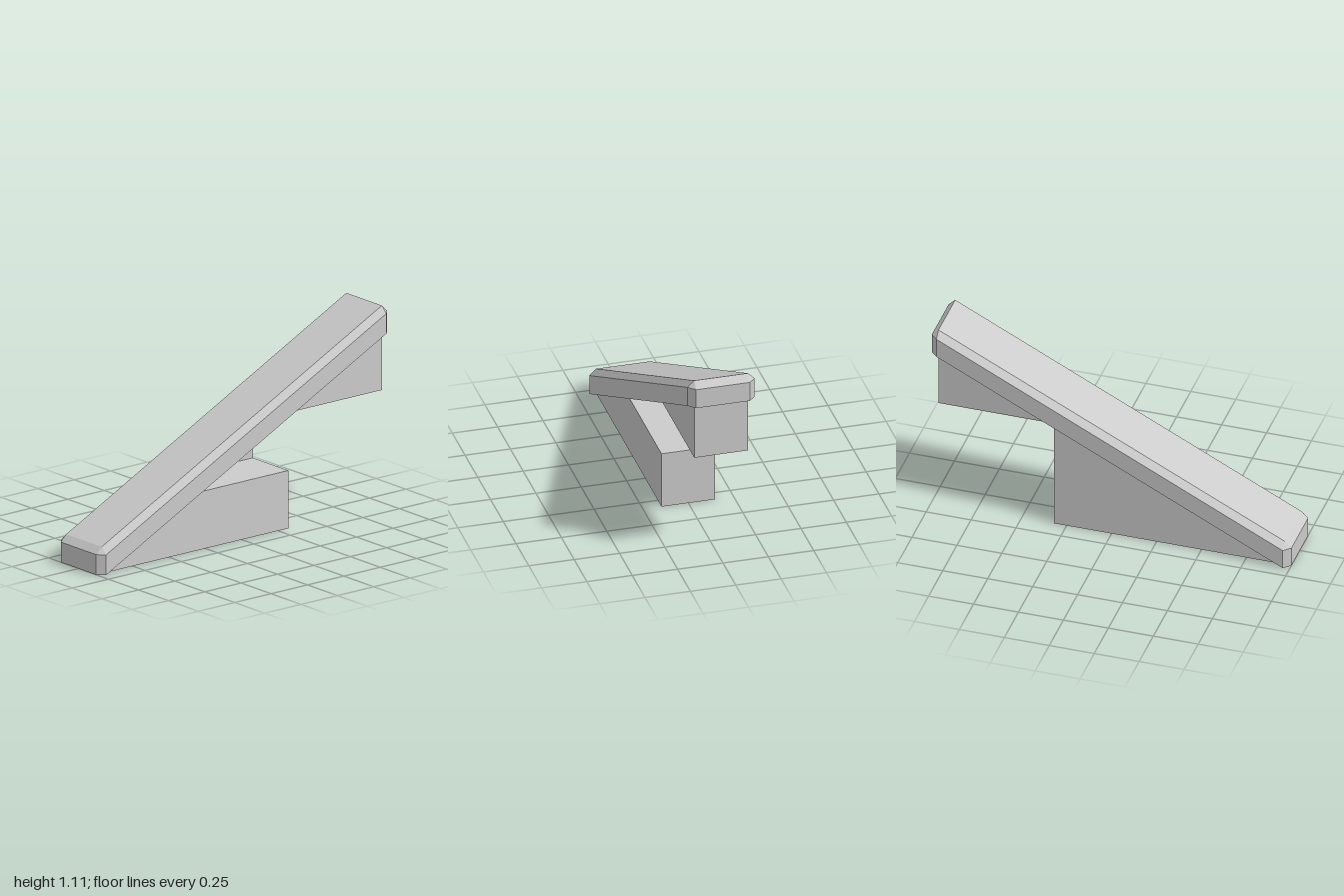
import * as THREE from 'three';

const A = 0.963;        // half length of the slope
const M = A / 3;        // step module: depth and rise
const R = 0.148;        // half depth of the supports and top face
const W = 0.185;        // half depth of the cap
const RIM = 0.112, TOP = 0.148; // cap heights above the slope line

const slope = (x) => (THREE.MathUtils.clamp(x, -A, A) + A) / 2;

const material = new THREE.MeshStandardMaterial({
  color: 0xcccccc, flatShading: true, side: THREE.DoubleSide,
});

// Mesh from flat convex polygons, corners counter-clockwise from outside
function panels(name, polygons) {
  const pos = [];
  for (const p of polygons) {
    for (let i = 1; i < p.length - 1; i++) {
      const [a, b, c] = [p[0], p[i], p[i + 1]].map((v) => new THREE.Vector3(...v));
      const area = b.clone().sub(a).cross(c.clone().sub(a)).length();
      if (area > 1e-6) pos.push(...a.toArray(), ...b.toArray(), ...c.toArray());
    }
  }
  const g = new THREE.BufferGeometry();
  g.setAttribute('position', new THREE.Float32BufferAttribute(pos, 3));
  g.computeVertexNormals();
  const mesh = new THREE.Mesh(g, material);
  mesh.name = name;
  return mesh;
}

// Upright side polygon from x,y corners; the back one is reversed
const side = (pts, z) => {
  const p = pts.map(([x, y]) => [x, y, z]);
  return z > 0 ? p : p.reverse();
};
// Panel spanning the support depth along an x,y edge
const span = ([x0, y0], [x1, y1], z0 = -R, z1 = R) =>
  [[x0, y0, z0], [x1, y1, z0], [x1, y1, z1], [x0, y0, z1]];

function makeCap() {
  const outline = [[1, R], [1, -R], [A, -W], [-A, -W], [-1, -R], [-1, R], [-A, W], [A, W]];
  const ring = (h) => outline.map(([x, z]) => [x, slope(x) + h, z]);
  const inner = outline.map(([x, z]) =>
    [Math.sign(x) * A, slope(x) + TOP, Math.sign(z) * R]);
  const rings = [ring(0), ring(RIM), inner];
  const band = (lo, up) => lo.map((p, i) => {
    const j = (i + 1) % lo.length;
    return [p, lo[j], up[j], up[i]];
  });
  const cap = new THREE.Group();
  cap.name = 'slopedCap';
  cap.add(
    panels('capSides', band(rings[0], rings[1])),
    panels('capBevel', band(rings[1], rings[2])),
    panels('capTop', [[inner[0], inner[1], inner[3], inner[5]]]),
  );

  // Underside: end pads and the lips overhanging the supports
  const lo = rings[0];
  const lip = (x0, x1, z0, z1) => span([x0, slope(x0)], [x1, slope(x1)], z0, z1);
  cap.add(panels('capUnderside', [
    [lo[7], lo[2], lo[1], lo[0]],
    [lo[3], lo[6], lo[5], lo[4]],
    lip(-A, A, -W, -R),
    lip(-A, -M, R, W),
    lip(M, A, R, W),
  ]));
  return cap;
}

export function createModel() {
  const model = new THREE.Group();
  model.name = 'slopedRail';
  model.add(makeCap());

  // Lower support with a ledge; its back wall rises to the slope
  model.add(panels('lowerSupport', [
    side([[-A, 0], [M, 0], [M, M], [-M, M]], R),
    span([-A, 0], [M, 0]),
    span([M, 0], [M, M]),
    span([M, M], [-M, M]),
  ]));
  model.add(panels('backWall', [side([[-A, 0], [M, 0], [M, 2 * M]], -R)]));

  // Upper support, open underneath
  const wedge = [[M, 2 * M], [A, 2 * M], [A, A]];
  model.add(panels('upperSupport', [
    side(wedge, R),
    side(wedge, -R),
    span([A, 2 * M], [A, A]),
  ]));
  return model;
}
